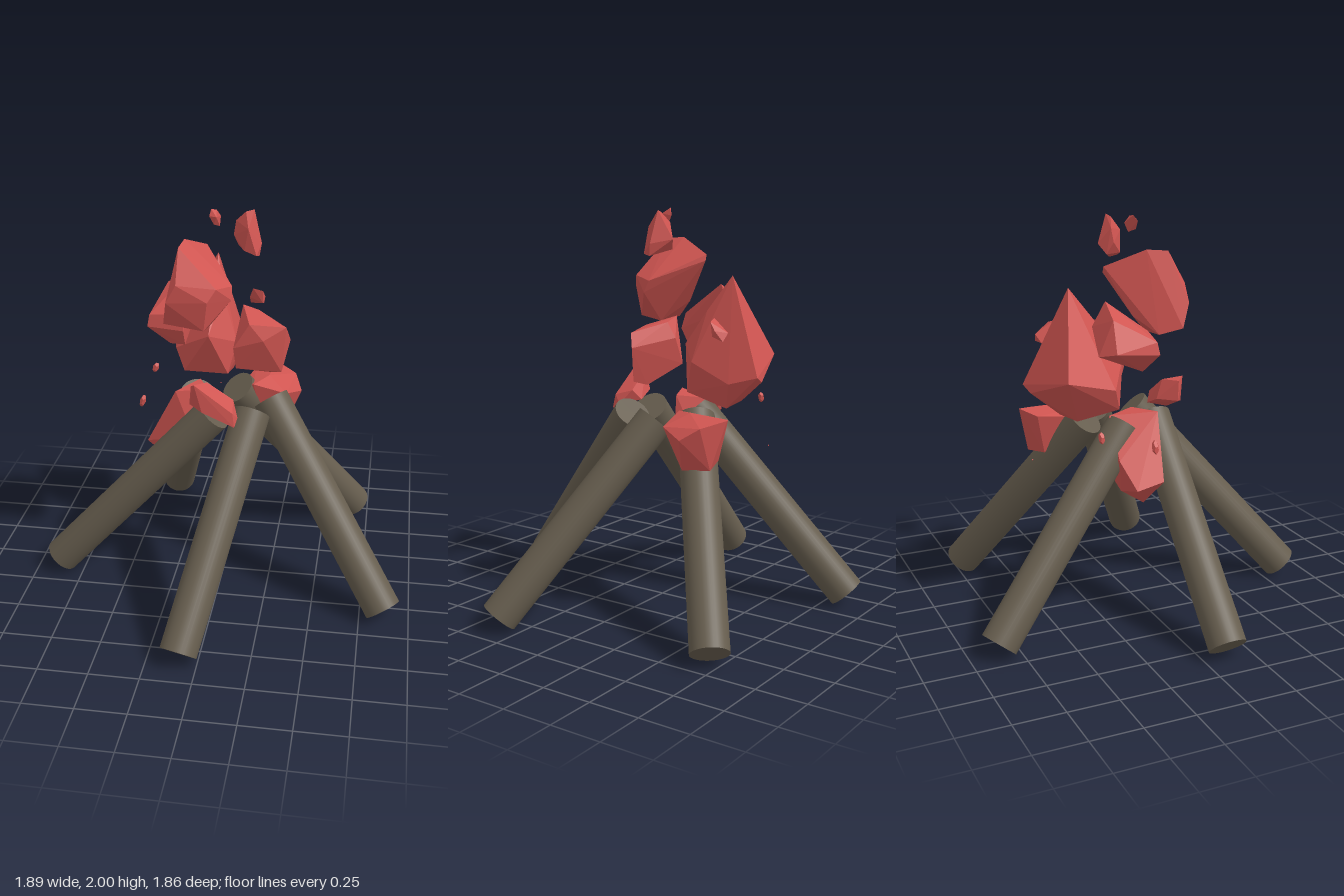
import * as THREE from 'three';
import { ConvexGeometry } from 'three/addons/geometries/ConvexGeometry.js';

export function createModel() {
  const root = new THREE.Group();
  root.name = 'campfire';
  const wood = new THREE.MeshStandardMaterial({ color: 0x665d4e });
  wood.name = 'weathered wood';
  const red = new THREE.MeshStandardMaterial({ color: 0xd05551 });
  red.name = 'flame red';

  // a round log running between two end centres
  const up = new THREE.Vector3(0, 1, 0);
  function log(name, foot, tip) {
    const a = new THREE.Vector3(...foot), b = new THREE.Vector3(...tip);
    const dir = b.clone().sub(a);
    const mesh = new THREE.Mesh(new THREE.CylinderGeometry(0.093, 0.093, dir.length(), 32), wood);
    mesh.name = name;
    mesh.position.copy(a).add(b).multiplyScalar(0.5);
    mesh.quaternion.setFromUnitVectors(up, dir.normalize());
    root.add(mesh);
  }

  // a faceted flame piece, the hull of its corner points
  function chunk(name, ...corners) {
    const mesh = new THREE.Mesh(new ConvexGeometry(corners.map(c => new THREE.Vector3(...c))), red);
    mesh.name = name;
    root.add(mesh);
  }

  // a small ember shard
  function ember(name, centre, size, tilt) {
    const mesh = new THREE.Mesh(new THREE.DodecahedronGeometry(1, 0), red);
    mesh.name = name;
    mesh.position.set(...centre);
    mesh.scale.set(...size);
    mesh.rotation.set(...tilt);
    root.add(mesh);
  }

  // logs leaning together
  log('rightLog', [-0.87, 0.068, 0.11], [-0.035, 0.98, 0.105]);
  log('frontLog', [-0.09, 0.063, 0.86], [0.155, 0.985, 0.075]);
  log('leftLog', [0.868, 0.065, 0.355], [0.23, 0.98, -0.115]);
  log('backLeftLog', [0.67, 0.065, -0.72], [0.04, 0.98, -0.23]);
  log('backRightLog', [-0.405, 0.065, -0.86], [-0.15, 0.98, -0.10]);

  // flame pieces, from the top down
  chunk('upperFlame',
    [-0.20, 1.84, 0.11], [-0.19, 1.85, 0.0], [-0.11, 1.77, -0.19], [-0.10, 1.74, -0.19],
    [0.05, 1.64, 0.05], [0.05, 1.58, 0.08], [-0.01, 1.66, 0.17], [-0.05, 1.60, 0.20],
    [-0.25, 1.59, 0.20], [-0.20, 1.68, 0.20], [-0.27, 1.47, 0.16], [-0.07, 1.45, 0.18],
    [-0.06, 1.43, 0.05], [-0.23, 1.44, 0.05], [-0.16, 1.53, -0.06]);
  chunk('backFlame',
    [-0.08, 1.675, -0.36], [-0.33, 1.27, -0.46], [0.02, 1.20, -0.565], [-0.05, 1.17, -0.55],
    [0.05, 1.16, -0.42], [0.04, 1.25, -0.20], [0.0, 1.09, -0.15], [-0.23, 1.09, -0.16],
    [-0.28, 1.20, -0.20], [-0.18, 1.04, -0.36], [0.0, 1.03, -0.38], [-0.09, 1.32, -0.08],
    [-0.04, 1.50, -0.24]);
  chunk('rightFlame',
    [-0.20, 1.62, -0.22], [-0.32, 1.55, -0.23], [-0.18, 1.50, -0.28], [-0.39, 1.38, -0.02],
    [-0.38, 1.44, -0.03], [-0.20, 1.38, 0.02], [-0.20, 1.29, -0.03], [-0.28, 1.28, -0.06],
    [-0.39, 1.40, -0.24], [-0.31, 1.38, -0.30], [-0.19, 1.35, -0.22], [-0.21, 1.46, 0.0]);
  chunk('leftFlame',
    [0.08, 1.48, -0.14], [0.16, 1.455, -0.14], [0.31, 1.41, -0.03], [0.33, 1.34, -0.05],
    [0.29, 1.17, -0.03], [0.23, 1.15, -0.07], [0.06, 1.18, -0.02], [0.05, 1.30, 0.01],
    [0.13, 1.43, 0.01], [0.20, 1.35, 0.02], [0.10, 1.25, -0.19], [0.15, 1.38, -0.18]);
  chunk('topFlame',
    [0.10, 1.98, -0.06], [0.14, 1.99, -0.07], [0.18, 1.83, -0.05], [0.17, 1.77, -0.04],
    [0.16, 1.78, 0.0], [0.06, 1.80, -0.10], [0.04, 1.86, -0.07], [0.05, 1.93, -0.08],
    [0.10, 1.85, -0.13], [0.12, 1.91, 0.0], [0.10, 1.80, -0.01]);
  chunk('frontFlame',
    [-0.13, 1.17, 0.21], [-0.06, 1.17, 0.15], [-0.11, 1.19, 0.24], [0.07, 1.08, 0.14],
    [0.10, 1.01, 0.20], [0.09, 0.98, 0.25], [-0.07, 1.05, 0.25], [-0.14, 1.07, 0.20],
    [0.03, 1.03, 0.11], [-0.06, 1.07, 0.12], [0.08, 1.05, 0.24]);
  chunk('lowerFlame',
    [-0.24, 1.06, 0.04], [-0.08, 1.05, -0.03], [-0.15, 1.04, -0.18], [-0.40, 0.75, 0.0],
    [-0.40, 0.72, -0.14], [-0.25, 0.60, -0.04], [-0.20, 0.66, -0.14], [-0.03, 0.80, -0.05],
    [-0.05, 0.80, -0.19], [-0.15, 0.80, 0.03], [-0.30, 0.85, -0.19]);
  chunk('backLeftFlame',
    [0.22, 1.02, -0.52], [0.11, 1.0, -0.46], [0.33, 0.99, -0.44], [0.37, 0.93, -0.35],
    [0.30, 0.97, -0.21], [0.13, 1.02, -0.19], [0.06, 0.99, -0.24], [0.27, 0.78, -0.46],
    [0.30, 0.77, -0.32], [0.17, 0.80, -0.23], [0.13, 0.80, -0.42], [0.20, 1.03, -0.30]);
  chunk('topEmber',
    [-0.06, 2.0, -0.01], [-0.035, 1.995, -0.02], [-0.018, 1.96, -0.04], [-0.02, 1.915, -0.02],
    [-0.045, 1.93, 0.01], [-0.067, 1.97, 0.01], [-0.03, 1.97, 0.025]);
  chunk('backEmber',
    [0.10, 1.485, -0.37], [0.15, 1.47, -0.38], [0.16, 1.43, -0.41], [0.15, 1.38, -0.45],
    [0.08, 1.38, -0.44], [0.08, 1.43, -0.39], [0.12, 1.42, -0.46], [0.15, 1.40, -0.39]);

  // stray embers
  ember('sideEmberBack', [-0.42, 1.02, -0.335], [0.018, 0.03, 0.016], [0, 0, -0.4]);
  ember('sideEmberFront', [-0.435, 0.945, -0.065], [0.017, 0.036, 0.018], [0, 0, -0.3]);
  ember('backSpark', [-0.10, 0.85, -0.565], [0.004, 0.004, 0.004], [0, 0, 0]);

  return root;
}
